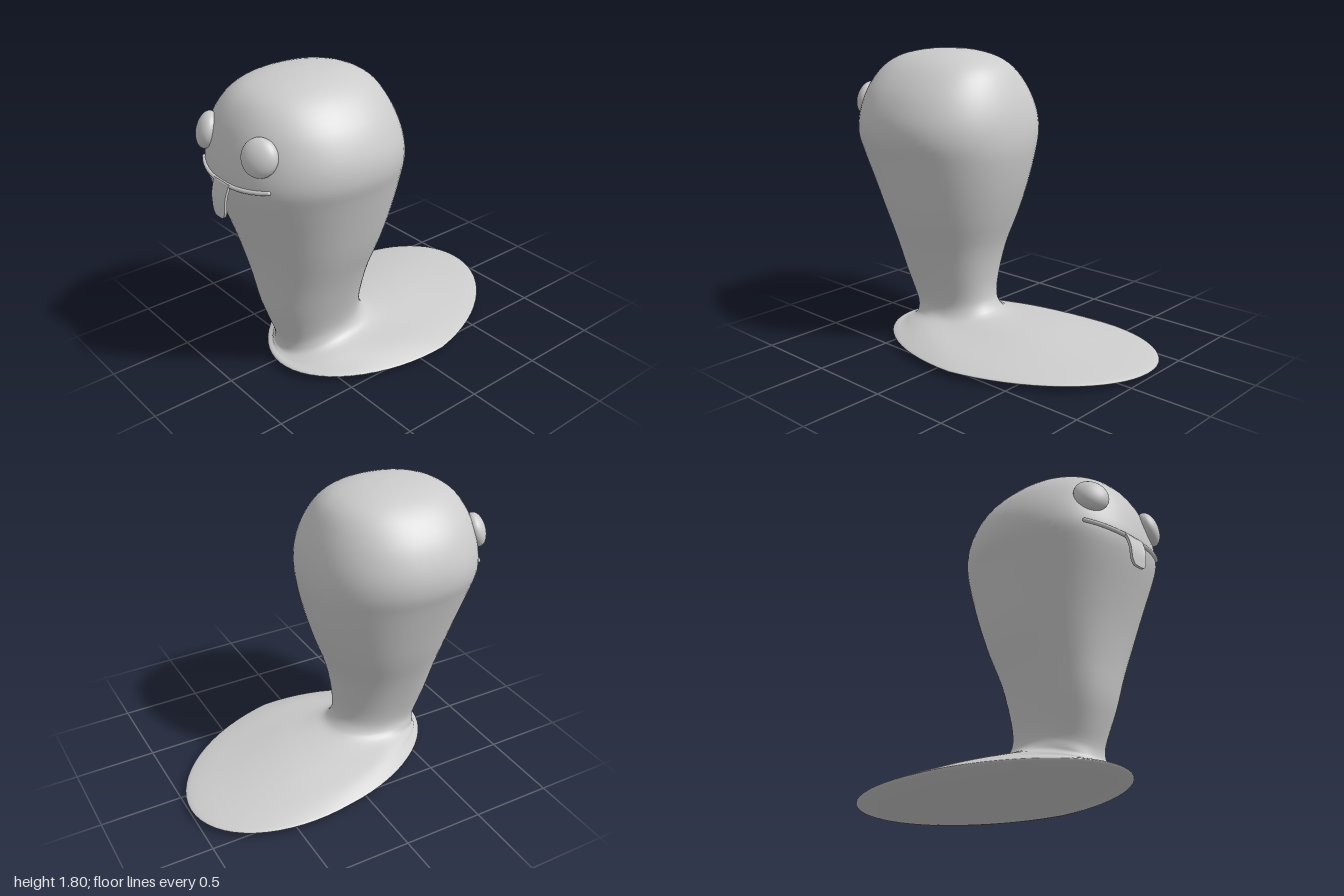
import * as THREE from 'three';

const material = new THREE.MeshStandardMaterial({ color: 0xcccccc, roughness: 0.8 });

// Rings from the underside to the crown:
// [yFront, ySide, yBack, halfWidth, zFront, zBack, shear]
const FOOT = [
  [0.012, 0.012, 0.012, 0, -0.2, -0.2, 0],
  [0.03, 0.02, 0.022, 0.45, 0.55, -0.75, 0.13],
  [0.04, 0.038, 0.035, 0.57, 0.69, -0.97, 0.16],
  [0.05, 0.05, 0.045, 0.59, 0.71, -1, 0.17],
  [0.06, 0.062, 0.06, 0.57, 0.7, -0.96, 0.16],
  [0.065, 0.1, 0.1, 0.47, 0.675, -0.7, 0.12],
  [0.07, 0.125, 0.15, 0.35, 0.66, -0.35, 0.07],
  [0.08, 0.145, 0.17, 0.26, 0.645, -0.08, 0.02],
  [0.1, 0.17, 0.19, 0.225, 0.637, 0.03, 0],
  [0.15, 0.21, 0.25, 0.21, 0.637, 0.078, 0],
  [0.25, 0.27, 0.31, 0.215, 0.67, 0.088, 0],
];
// Level rings: [y, halfWidth, zFront, zBack]
const TRUNK = [
  [0.4, 0.25, 0.72, 0.085], [0.6, 0.315, 0.76, 0.05], [0.8, 0.39, 0.81, -0.02],
  [1.0, 0.45, 0.875, -0.08], [1.2, 0.508, 0.943, -0.12], [1.3, 0.538, 0.96, -0.125],
  [1.4, 0.538, 0.95, -0.115], [1.5, 0.507, 0.93, -0.09], [1.6, 0.452, 0.895, -0.05],
  [1.7, 0.36, 0.83, 0.01], [1.76, 0.27, 0.74, 0.09], [1.8, 0.15, 0.58, 0.23],
  [1.814, 0, 0.4, 0.4],
].map(([y, w, f, b]) => [y, y, y, w, f, b, 0]);

const POWER = 2.2; // slightly squarer than an ellipse
const squash = (v, p) => Math.sign(v) * Math.abs(v) ** (2 / p);

function ringPoint([yF, yS, yB, w, zF, zB, shear], angle, p) {
  const c = squash(Math.cos(angle), p), s = squash(Math.sin(angle), p);
  const k = Math.sin(angle) ** 2;
  const y = yS * (1 - k) + (s > 0 ? yF : yB) * k;
  const taper = 1 - 0.06 * Math.max(0, s) * (shear > 0 ? 1 : 0);
  return new THREE.Vector3(w * c * taper + shear * s * (s > 0 ? 0.5 : 1), y, (zF + zB) / 2 + ((zF - zB) / 2) * s);
}

// Body and spreading foot as one smooth skin
function bodyGeometry(sides = 64, steps = 3) {
  const rings = [...FOOT, ...TRUNK];
  const rows = (rings.length - 1) * steps;
  const pos = [], index = [];
  for (let j = 0; j < sides; j++) {
    const a = (j / sides) * Math.PI * 2;
    const curve = new THREE.CatmullRomCurve3(rings.map((r, i) => ringPoint(r, a, i < 6 ? 2 : POWER)));
    for (let i = 0; i <= rows; i++) pos.push(...curve.getPoint(i / rows).toArray());
  }
  for (let j = 0; j < sides; j++) {
    for (let i = 0; i < rows; i++) {
      const a = j * (rows + 1) + i, c = ((j + 1) % sides) * (rows + 1) + i;
      if (i > 0) index.push(a, a + 1, c);
      if (i < rows - 1) index.push(a + 1, c + 1, c);
      else index.push(a, a + 1, c);
    }
  }
  // The first row closes on the pole under the foot
  for (let j = 0; j < sides; j++) {
    const a = j * (rows + 1), c = ((j + 1) % sides) * (rows + 1);
    index.push(a, a + 1, c + 1);
  }
  const g = new THREE.BufferGeometry();
  g.setAttribute('position', new THREE.Float32BufferAttribute(pos, 3));
  g.setIndex(index);
  g.computeVertexNormals();
  return g;
}

// Front of the face at mouth height
const faceZ = (x) => 0.418 + 0.542 * (1 - (Math.abs(x) / 0.54) ** POWER) ** (1 / POWER);

// Tongue: a box tapered, rounded at the tip and curled outward
function tongueGeometry() {
  const g = new THREE.BoxGeometry(2, 1, 0.016, 12, 12, 1);
  const p = g.attributes.position;
  for (let i = 0; i < p.count; i++) {
    const u = p.getX(i), t = 0.5 - p.getY(i);
    const drop = 0.205 * t * (1 - 0.2 * Math.abs(u) ** 5);
    p.setXYZ(i, u * (0.072 - 0.014 * t), 1.298 - drop, 0.962 + 0.03 * Math.sin(Math.min(1, t * 1.4) * Math.PI / 2) + p.getZ(i));
  }
  g.computeVertexNormals();
  return g;
}

export function createModel() {
  const model = new THREE.Group();
  model.name = 'slugCreature';
  const add = (name, geometry) => {
    const mesh = new THREE.Mesh(geometry, material);
    mesh.name = name;
    model.add(mesh);
    return mesh;
  };

  add('body', bodyGeometry());

  // Flattened bulging eyes, turned to follow the head
  for (const side of [1, -1]) {
    const eye = add(side > 0 ? 'leftEye' : 'rightEye', new THREE.SphereGeometry(1, 32, 24));
    eye.scale.set(0.103, 0.106, 0.06);
    eye.position.set(side * 0.25, 1.49, 0.888);
    eye.rotation.set(-0.3, side * 0.5, 0, 'YXZ');
  }

  // Smiling lip with rounded ends
  const points = [];
  for (let i = 0; i <= 16; i++) {
    const x = -0.31 + (0.62 * i) / 16;
    points.push(new THREE.Vector3(x, 1.285 + 0.025 * (x / 0.31) ** 2, faceZ(x) + 0.004));
  }
  add('mouth', new THREE.TubeGeometry(new THREE.CatmullRomCurve3(points), 48, 0.012, 10));
  for (const end of [points[0], points[16]]) {
    add('mouthCorner', new THREE.SphereGeometry(0.012, 12, 8)).position.copy(end);
  }

  add('tongue', tongueGeometry());
  return model;
}
